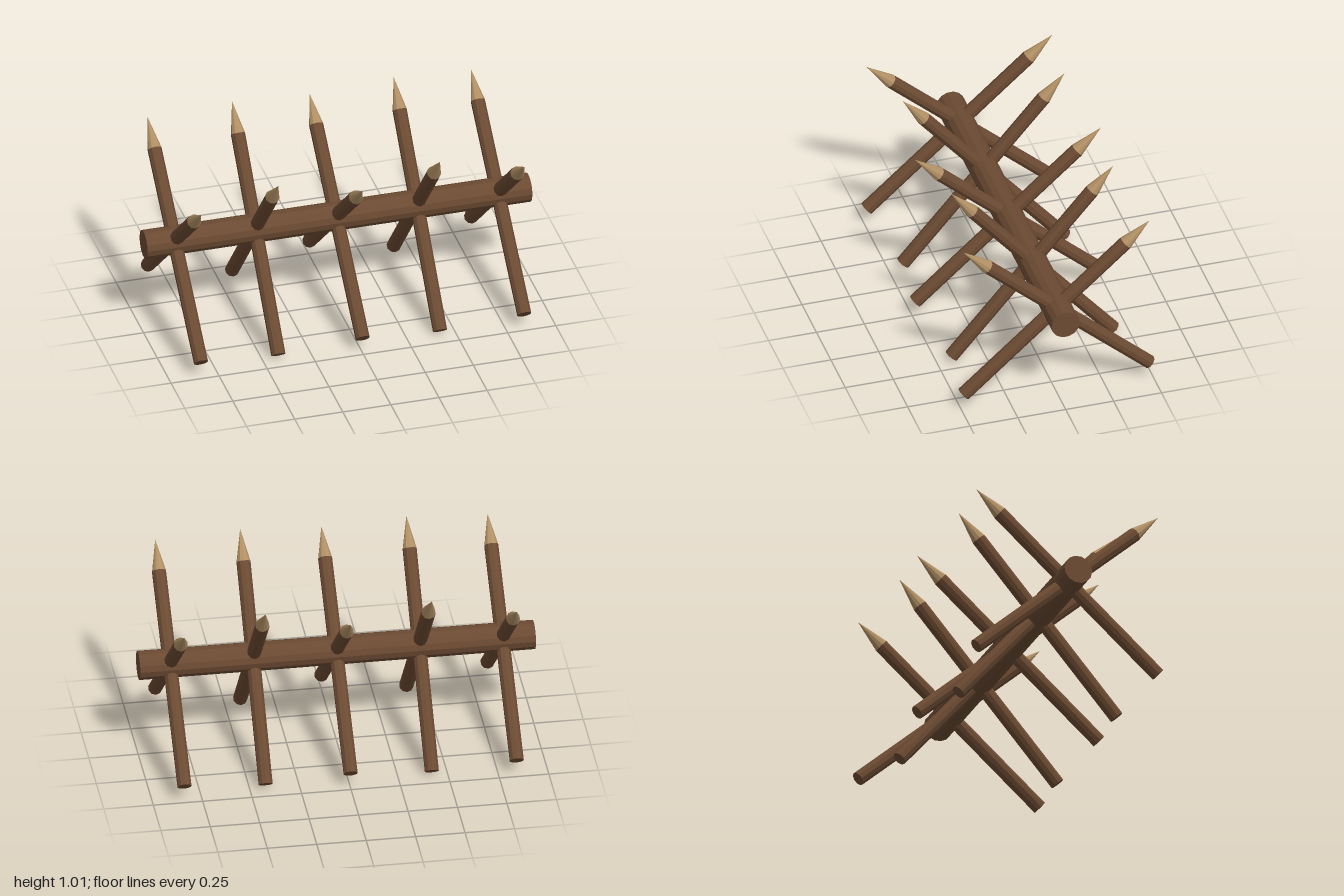
import * as THREE from 'three';

const AXIS_Y = 0.522;      // height of the beam's axis
const STAKE_R = 0.036;
const STAKE_SIDES = 10;
const BUTT = 0.65;         // distance from the beam axis to the blunt end
const SHOULDER = 0.483;    // distance from the beam axis to the start of the point
const TIP = 0.65;          // distance from the beam axis to the tip

export function createModel() {
  const wood = new THREE.MeshStandardMaterial({ name: 'bark brown', color: 0x6b4a32, flatShading: true });
  const cut = new THREE.MeshStandardMaterial({ name: 'cut wood tan', color: 0xb08f64, flatShading: true });
  const model = new THREE.Group();
  model.name = 'spikedBarrier';

  // Long horizontal log
  const beamGeo = new THREE.CylinderGeometry(0.074, 0.074, 2, 14);
  beamGeo.rotateZ(Math.PI / 2);
  const beam = new THREE.Mesh(beamGeo, wood);
  beam.name = 'beam';
  beam.position.y = AXIS_Y;
  model.add(beam);

  // Stake pieces, along +y with the beam axis at the origin
  const shaftGeo = new THREE.CylinderGeometry(STAKE_R, STAKE_R, BUTT + SHOULDER, STAKE_SIDES);
  shaftGeo.translate(0, (SHOULDER - BUTT) / 2, 0);
  const pointGeo = new THREE.ConeGeometry(STAKE_R, TIP - SHOULDER, STAKE_SIDES, 1, true);
  pointGeo.translate(0, (SHOULDER + TIP) / 2, 0);

  function addStake(x, lean, name) {
    const stake = new THREE.Group();
    stake.name = name;
    const shaft = new THREE.Mesh(shaftGeo, wood);
    shaft.name = 'shaft';
    const point = new THREE.Mesh(pointGeo, cut);
    point.name = 'point';
    stake.add(shaft, point);
    stake.position.set(x, AXIS_Y, 0);
    stake.rotation.x = lean;
    model.add(stake);
  }

  // Crossed pairs, alternately wide and steep
  for (let i = -2; i <= 2; i++) {
    const lean = THREE.MathUtils.degToRad(i % 2 === 0 ? 48.3 : 40.5);
    addStake(i * 0.42, lean, 'stakeLeaningForward');
    addStake(i * 0.42, -lean, 'stakeLeaningBack');
  }
  return model;
}
